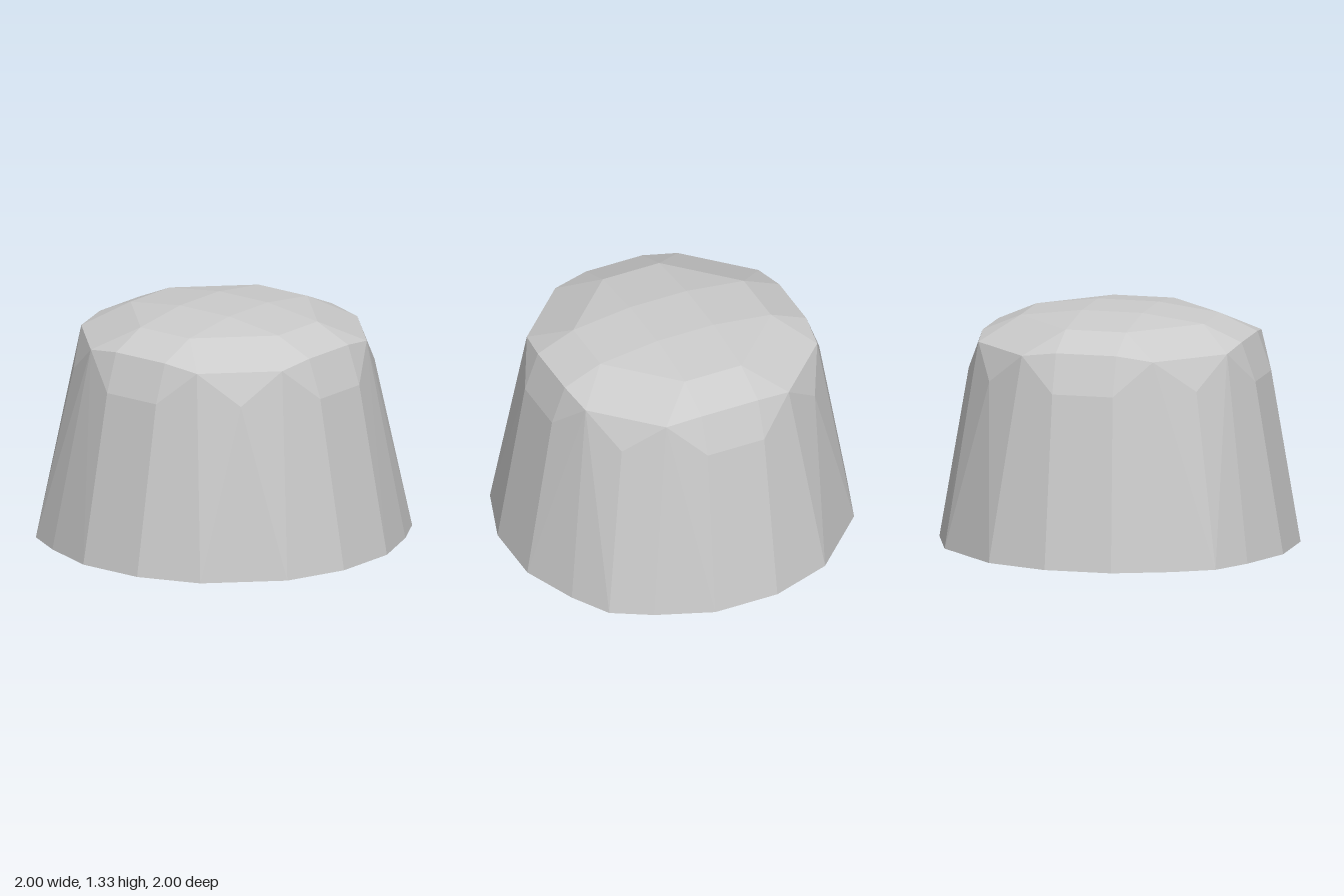
import * as THREE from 'three';
import { ConvexGeometry } from 'three/addons/geometries/ConvexGeometry.js';

export function createModel() {
  const group = new THREE.Group();
  const points = [];

  // Adds a point and its mirror across the corner's diagonal
  const addPair = (sx, sz, a, y, b) => {
    points.push(new THREE.Vector3(sx * a, y, sz * b));
    if (a !== b) points.push(new THREE.Vector3(sx * b, y, sz * a));
  };

  for (const sx of [-1, 1]) {
    for (const sz of [-1, 1]) {
      const wide = sx !== sz; // two opposite corners have an extra foot point

      // Domed top
      addPair(sx, sz, 0.175, 1.33, 0.175);
      addPair(sx, sz, 0.53, 1.285, 0.175);

      // Rim
      addPair(sx, sz, 0.75, 1.19, 0.175);
      addPair(sx, sz, 0.72, 1.16, 0.38);

      // Shoulder
      addPair(sx, sz, 0.83, 0.97, 0.175);
      addPair(sx, sz, 0.6, 0.98, 0.6);

      // Base outline
      addPair(sx, sz, 1, 0, wide ? 0.21 : 0.175);
      addPair(sx, sz, 0.877, 0, 0.53);
      if (wide) addPair(sx, sz, 0.75, 0, 0.75);
    }
  }

  // One faceted, closed stump
  const stump = new THREE.Mesh(
    new ConvexGeometry(points),
    new THREE.MeshStandardMaterial({ color: 0xcccccc, flatShading: true })
  );
  stump.name = 'facetedStump';
  group.add(stump);
  return group;
}
